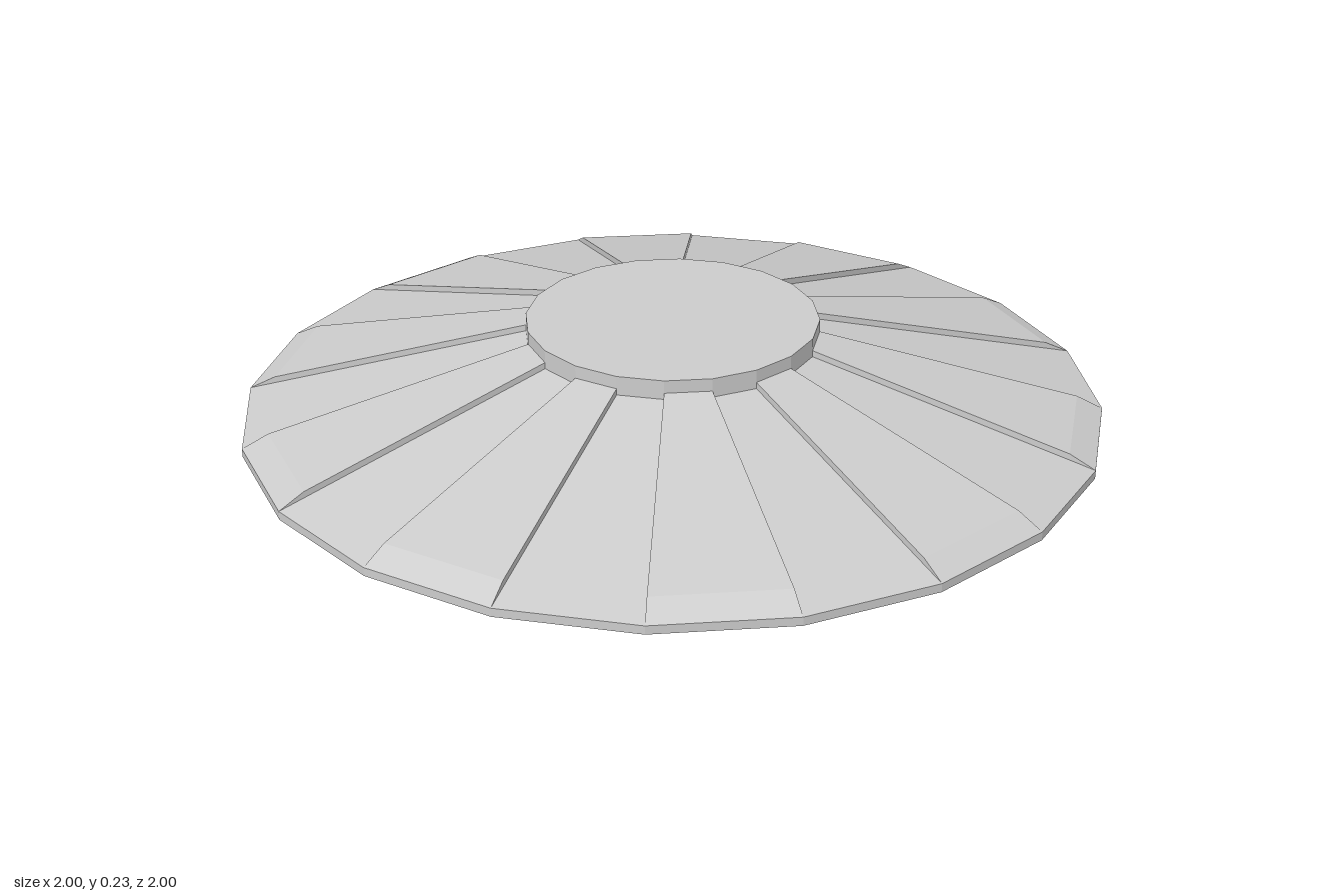
import * as THREE from 'three';

const SIDES = 20;
const STEP = (Math.PI * 2) / SIDES;

// One raised wedge: sloped top with bevelled outer edge and two radial walls
function panelGeometry() {
  const profile = [[1, 0.02], [0.94, 0.05], [0.34, 0.2], [0.34, 0.185]];
  const ring = (a) => profile.map(([r, y]) => [r * Math.cos(a), y, r * Math.sin(a)]);
  const a = ring(0);
  const b = ring(STEP);
  const pos = [];
  const quad = (p, q, r, s) => pos.push(...p, ...q, ...r, ...p, ...r, ...s);
  quad(b[0], a[0], a[1], b[1]); // bevel
  quad(b[1], a[1], a[2], b[2]); // top
  quad(a[0], a[3], a[2], a[1]); // wall
  quad(b[0], b[1], b[2], b[3]); // opposite wall
  const g = new THREE.BufferGeometry();
  g.setAttribute('position', new THREE.Float32BufferAttribute(pos, 3));
  g.computeVertexNormals();
  return g;
}

export function createModel() {
  const model = new THREE.Group();
  model.name = 'panelledDisc';
  const material = new THREE.MeshStandardMaterial({ color: 0xcccccc, flatShading: true });

  const add = (name, geometry, y = 0) => {
    const mesh = new THREE.Mesh(geometry, material);
    mesh.name = name;
    mesh.position.y = y;
    model.add(mesh);
    return mesh;
  };

  // Thin rim, sloped body and central hub, all with the same facets
  add('baseRim', new THREE.CylinderGeometry(1, 1, 0.02, SIDES), 0.01);
  add('slopedBody', new THREE.CylinderGeometry(0.34, 1, 0.165, SIDES, 1, true), 0.1025);
  add('hub', new THREE.CylinderGeometry(0.34, 0.34, 0.045, SIDES), 0.2075);

  // Raised panels on every second facet
  const panel = panelGeometry();
  for (let i = 0; i < SIDES; i += 2) {
    add('raisedPanel' + (i / 2 + 1), panel).rotation.y = -i * STEP;
  }
  return model;
}
